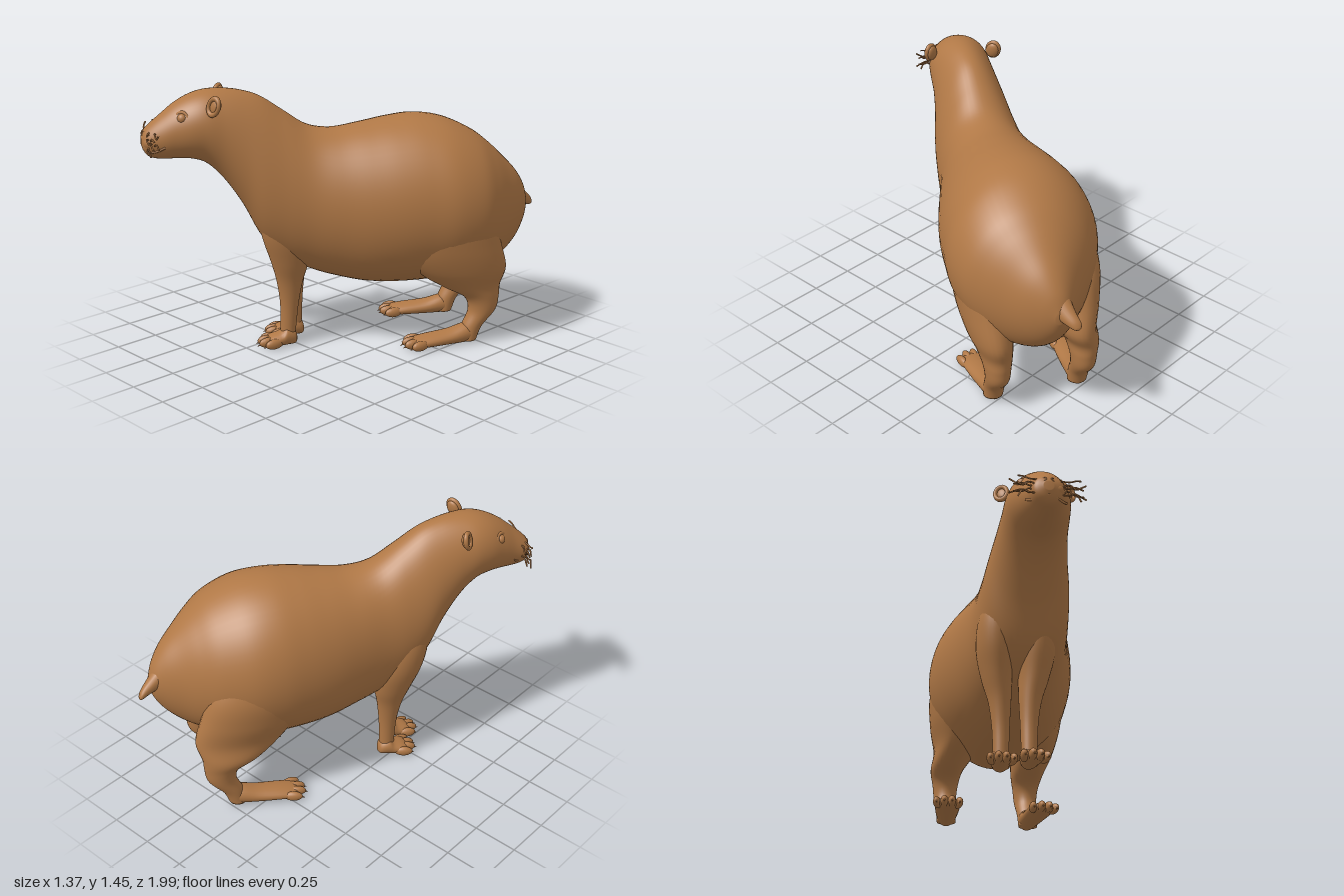
import * as THREE from 'three';

const fur = new THREE.MeshStandardMaterial({ color: 0xb07846 });
fur.name = 'brown fur';

function mesh(name, geometry, parent) {
  const m = new THREE.Mesh(geometry, fur);
  m.name = name;
  parent.add(m);
  return m;
}

// Catmull-Rom blend between rows of section values
function blend(rows, u) {
  const n = rows.length - 1, i = Math.min(Math.floor(u * n), n - 1), t = u * n - i;
  const at = k => rows[Math.max(0, Math.min(n, k))];
  const [a, b, c, d] = [at(i - 1), at(i), at(i + 1), at(i + 2)];
  return b.map((v, k) => v + 0.5 * t * (c[k] - a[k]
    + t * (2 * a[k] - 5 * v + 4 * c[k] - d[k] + t * (3 * (v - c[k]) + d[k] - a[k]))));
}

// Smooth closed skin through cross-sections
function loft(rows, ring, steps = 40, sides = 32) {
  const pos = [], idx = [];
  for (let i = 0; i <= steps; i++) {
    const row = blend(rows, i / steps);
    for (let j = 0; j < sides; j++) {
      const a = j / sides * Math.PI * 2;
      pos.push(...ring(row, Math.cos(a), Math.sin(a)));
    }
  }
  const centre = i => {
    const c = [0, 0, 0];
    for (let j = 0; j < sides; j++) for (let k = 0; k < 3; k++) c[k] += pos[(i * sides + j) * 3 + k] / sides;
    return c;
  };
  const first = pos.length / 3;
  pos.push(...centre(0), ...centre(steps));
  for (let j = 0; j < sides; j++) {
    const n = (j + 1) % sides, top = steps * sides;
    for (let i = 0; i < steps; i++) {
      const a = i * sides + j, b = i * sides + n;
      idx.push(a, b, a + sides, b, b + sides, a + sides);
    }
    idx.push(first, n, j, first + 1, top + j, top + n);
  }
  const g = new THREE.BufferGeometry();
  g.setAttribute('position', new THREE.Float32BufferAttribute(pos, 3));
  g.setIndex(idx);
  g.computeVertexNormals();
  return g;
}

// Ring rules: along the body (z, top, bottom, half width, x, taper to the top)
// and up a leg (y, z, x, depth, width)
const bodyRing = ([z, top, bot, w, x, taper], c, s) =>
  [x + c * w * (1 - taper * s), (top + bot) / 2 + s * (top - bot) / 2, z];
const legRing = ([y, z, x, rz, rx], c, s) => [x + c * rx, y, z - s * rz];

function tube(points, radius) {
  const curve = new THREE.CatmullRomCurve3(points.map(p => new THREE.Vector3(...p)));
  return new THREE.TubeGeometry(curve, 16, radius, 6);
}

// Paw with four toes and claws, heel at the origin and toes toward +z
function paw(name, length, width, parent) {
  const g = new THREE.Group();
  g.name = name;
  parent.add(g);
  mesh('sole', loft([
    [-0.05, 0.06, 0.02, 0.015, 0, 0], [-0.035, 0.09, 0.008, 0.042, 0, 0], [0.01, 0.115, 0.005, 0.056, 0, 0],
    [length * 0.3, 0.088, 0.005, width * 0.44, 0, 0], [length * 0.65, 0.072, 0.005, width * 0.48, 0, 0],
    [length * 0.85, 0.056, 0.008, width * 0.42, 0, 0], [length * 0.9, 0.035, 0.02, 0.02, 0, 0],
  ], bodyRing, 24, 24), g);
  for (let i = 0; i < 4; i++) {
    const k = i - 1.5, outer = Math.abs(k) > 1;
    const z = length * 0.86 - (outer ? 0.025 : 0);
    const toe = mesh('toe', new THREE.SphereGeometry(1, 16, 12), g);
    toe.scale.set(0.022, 0.029, 0.052);
    toe.position.set(k * width * 0.27, 0.033, z);
    toe.rotation.y = k * 0.14;
    const claw = mesh('claw', new THREE.ConeGeometry(0.009, 0.03, 8), g);
    claw.position.set(k * width * 0.29, 0.022, z + 0.05);
    claw.rotation.set(1.85, 0, -k * 0.14);
  }
  return g;
}

export function createModel() {
  const model = new THREE.Group();
  model.name = 'animal';
  const a = new THREE.Group();
  a.name = 'body and limbs';
  a.rotation.y = -0.541; // stands diagonally
  model.add(a);

  // Torso, neck and head in one skin
  mesh('bodyAndHead', loft([
    [-1.055, 0.76, 0.7, 0.02, -0.015, 0], [-1.025, 0.85, 0.62, 0.075, -0.005, 0], [-0.97, 0.935, 0.535, 0.137, 0.01, 0],
    [-0.89, 1.02, 0.46, 0.207, 0.02, 0], [-0.8, 1.105, 0.41, 0.285, 0.025, 0], [-0.7, 1.18, 0.378, 0.352, 0.025, 0],
    [-0.55, 1.248, 0.35, 0.4, 0.012, 0], [-0.4, 1.272, 0.335, 0.402, 0, 0], [-0.25, 1.26, 0.335, 0.383, 0, 0],
    [-0.1, 1.235, 0.35, 0.35, 0, 0], [0.06, 1.215, 0.39, 0.302, 0, 0], [0.2, 1.24, 0.44, 0.264, 0, 0.06],
    [0.33, 1.325, 0.51, 0.242, 0, 0.14], [0.45, 1.405, 0.63, 0.222, 0, 0.17], [0.55, 1.44, 0.82, 0.195, 0, 0.12],
    [0.65, 1.455, 0.97, 0.178, 0, 0.05], [0.74, 1.453, 1.06, 0.172, 0, 0], [0.82, 1.432, 1.09, 0.158, 0, 0],
    [0.9, 1.39, 1.095, 0.13, 0, 0], [0.97, 1.335, 1.095, 0.106, 0, 0], [1.03, 1.285, 1.105, 0.086, -0.005, 0],
    [1.06, 1.255, 1.13, 0.066, -0.008, 0], [1.078, 1.22, 1.17, 0.025, -0.01, 0],
  ], bodyRing, 132, 56), a);

  // Short pointed tail
  mesh('tail', loft([
    [-1.12, 0.71, 0.695, 0.01, -0.085, 0], [-1.105, 0.74, 0.69, 0.028, -0.08, 0], [-1.06, 0.785, 0.7, 0.042, -0.055, 0],
    [-1.0, 0.845, 0.71, 0.058, -0.03, 0], [-0.94, 0.89, 0.72, 0.075, -0.01, 0],
  ], bodyRing, 20, 20), a);

  for (const side of [1, -1]) {
    const label = side > 0 ? 'left' : 'right';

    // Front leg, close under the chest
    const fz = side > 0 ? 0.035 : -0.03;
    mesh(label + 'FrontLeg', loft([
      [0.02, 0.29, 0.068, 0.04, 0.042], [0.12, 0.287, 0.068, 0.044, 0.042], [0.25, 0.285, 0.07, 0.052, 0.047],
      [0.38, 0.287, 0.077, 0.073, 0.06], [0.5, 0.292, 0.094, 0.105, 0.08], [0.65, 0.315, 0.105, 0.135, 0.103],
      [0.8, 0.345, 0.1, 0.13, 0.103], [0.95, 0.37, 0.08, 0.09, 0.075], [1.03, 0.38, 0.06, 0.03, 0.03],
    ].map(([y, z, x, rz, rx]) => [y, z + fz * Math.max(0, 1 - y), side * x - 0.037, rz, rx]), legRing), a);
    const front = paw(label + 'FrontPaw', 0.135, 0.135, a);
    front.position.set(side * 0.07 - 0.037, 0, 0.287 + fz);
    front.rotation.y = side * 0.08;

    // Hind leg: heavy thigh flowing into the flank, thin hock, long foot
    const cx = side > 0 ? 0.21 : 0.26;
    mesh(label + 'HindLeg', loft([
      [0.02, -0.66, cx, 0.05, 0.053], [0.1, -0.685, cx, 0.058, 0.057], [0.19, -0.74, cx, 0.078, 0.064],
      [0.27, -0.735, cx, 0.1, 0.073], [0.34, -0.675, cx, 0.165, 0.092], [0.44, -0.615, 0.225, 0.25, 0.118],
      [0.58, -0.555, 0.235, 0.275, 0.14], [0.75, -0.52, 0.235, 0.255, 0.148], [0.93, -0.5, 0.205, 0.17, 0.11],
      [1.05, -0.5, 0.15, 0.04, 0.04],
    ].map(([y, z, x, rz, rx]) => [y, z, side * x, rz, rx]), legRing, 54), a);
    const hind = paw(label + 'HindPaw', 0.38, 0.145, a);
    hind.position.set(side * cx, 0, -0.66);
    hind.rotation.y = side * 0.1;

    // Rounded ear: rim and cupped inner plate
    const ear = new THREE.Group();
    ear.name = label + 'Ear';
    ear.position.set(side * 0.175, 1.393, side > 0 ? 0.715 : 0.655);
    ear.rotation.set(-0.2, side * 0.65, -side * 0.25);
    ear.scale.set(0.85, 1.1, 1);
    a.add(ear);
    mesh('earRim', new THREE.TorusGeometry(0.04, 0.013, 12, 32), ear);
    const cup = mesh('earCup', new THREE.SphereGeometry(0.042, 24, 16), ear);
    cup.scale.z = 0.45;
    cup.position.z = -0.013;

    // Eye with lids
    const eye = new THREE.Group();
    eye.name = label + 'Eye';
    eye.position.set(side * 0.106, 1.325, 0.87);
    eye.rotation.set(-0.35, side * 0.95, 0);
    a.add(eye);
    mesh('eyeball', new THREE.SphereGeometry(0.027, 20, 16), eye);
    const lid = mesh('eyelid', new THREE.TorusGeometry(0.034, 0.011, 8, 28), eye);
    lid.scale.y = 0.9;

    // Cheek pad, nostril and mouth line
    const pad = mesh(label + 'MuzzlePad', new THREE.SphereGeometry(1, 24, 16), a);
    pad.scale.set(0.045, 0.042, 0.045);
    pad.position.set(side * 0.04 - 0.005, 1.19, 1.025);
    const nostril = mesh(label + 'Nostril', new THREE.TorusGeometry(0.011, 0.004, 8, 16), a);
    nostril.position.set(side * 0.023 - 0.008, 1.235, 1.066);
    nostril.rotation.set(-0.4, side * 0.5, 0);
    mesh(label + 'Mouth', tube([[-0.008, 1.15, 1.066], [side * 0.045, 1.14, 1.046],
      [side * 0.079, 1.15, 1.005], [side * 0.103, 1.175, 0.96]], 0.006), a);

    // Wavy whiskers
    for (let i = 0; i < 7; i++) {
      const y = 1.17 + i * 0.013, z = 1.04 - (i % 3) * 0.02, out = 0.16 + (i % 3) * 0.018;
      const wave = i % 2 ? 0.012 : -0.01;
      mesh(label + 'Whisker', tube([[side * 0.06, y, z], [side * 0.1, y + wave, z + 0.014],
        [side * 0.135, y - wave * 0.5, z + 0.008],
        [side * out, y + (i - 3) * 0.007 + wave, z]], 0.0045), a);
    }
  }
  return model;
}
